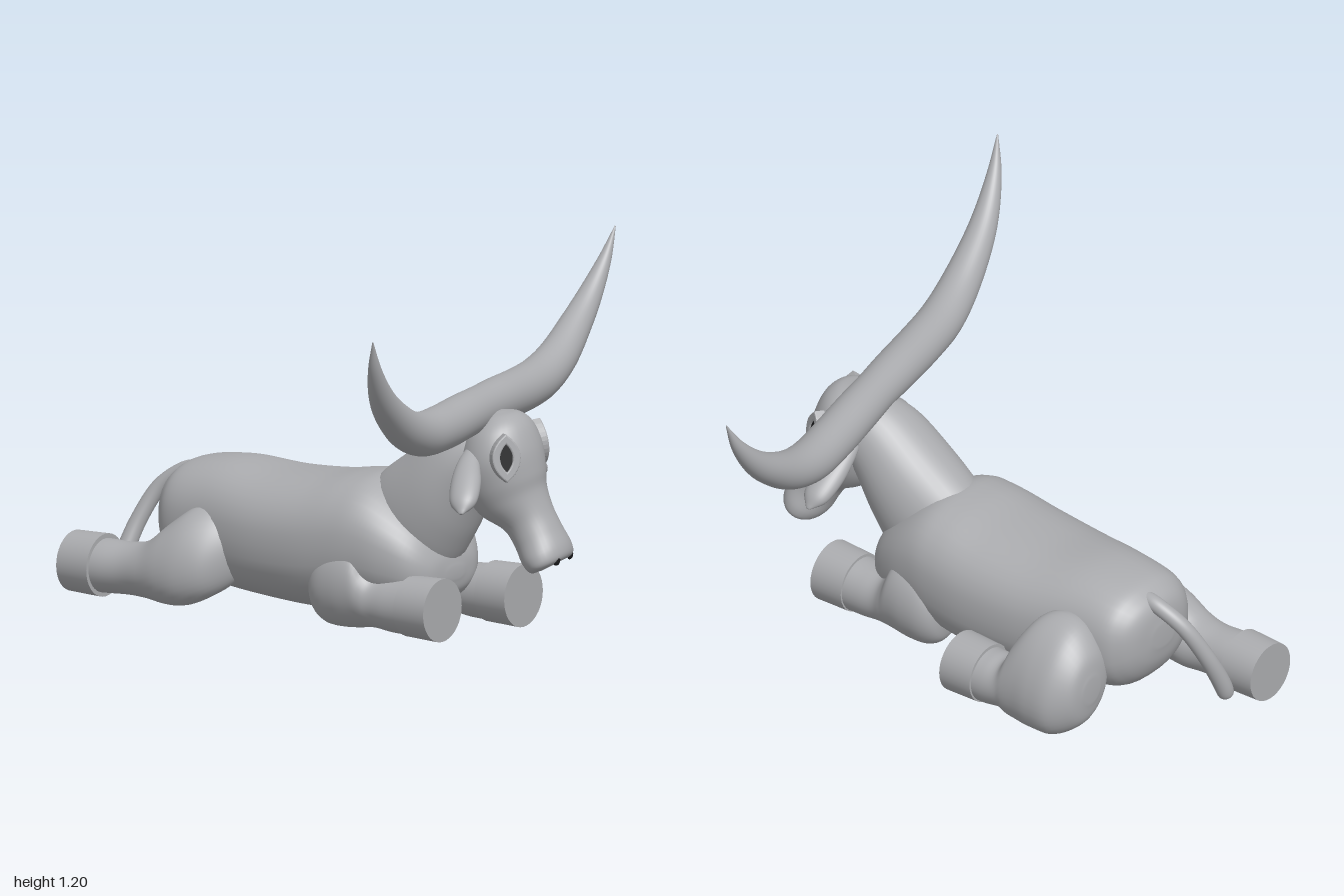
import * as THREE from 'three';

const hide = new THREE.MeshStandardMaterial({ color: 0xaaabae });
hide.name = 'greyHide';
const dark = new THREE.MeshStandardMaterial({ color: 0x1c1c1e });
dark.name = 'darkEye';

const V = (x, y, z) => new THREE.Vector3(x, y, z);
const SIDES = 36;

function addMesh(parent, name, geometry, material = hide) {
  const mesh = new THREE.Mesh(geometry, material);
  mesh.name = name;
  parent.add(mesh);
  return mesh;
}

// Closed smooth skin over rings of { c, u, v }; power below 1 makes rings boxier
function skin(rings, steps = 6, power = 1) {
  const [cc, cu, cv] = ['c', 'u', 'v'].map(k => new THREE.CatmullRomCurve3(rings.map(r => r[k]), false, 'catmullrom', 0.5));
  const n = (rings.length - 1) * steps;
  const pos = [], idx = [];
  const bend = s => Math.sign(s) * Math.pow(Math.abs(s), power);
  for (let i = 0; i <= n; i++) {
    const c = cc.getPoint(i / n), u = cu.getPoint(i / n), v = cv.getPoint(i / n);
    for (let j = 0; j < SIDES; j++) {
      const a = (j / SIDES) * Math.PI * 2;
      const p = c.clone().addScaledVector(u, bend(Math.cos(a))).addScaledVector(v, bend(Math.sin(a)));
      pos.push(p.x, p.y, p.z);
    }
  }
  const first = pos.length / 3, last = first + 1;
  pos.push(...rings[0].c.toArray(), ...rings[rings.length - 1].c.toArray());
  for (let j = 0; j < SIDES; j++) {
    const k = (j + 1) % SIDES;
    for (let i = 0; i < n; i++) {
      const a = i * SIDES + j, b = i * SIDES + k;
      idx.push(a, b, a + SIDES, b, b + SIDES, a + SIDES);
    }
    idx.push(first, k, j, last, n * SIDES + j, n * SIDES + k);
  }
  const g = new THREE.BufferGeometry();
  g.setAttribute('position', new THREE.Float32BufferAttribute(pos, 3));
  g.setIndex(idx);
  g.computeVertexNormals();
  return g;
}

// Rings given by their upper and lower points: [z1, y1, z2, y2, halfWidth, x, lean]
const slices = rows => rows.map(([z1, y1, z2, y2, w, x = 0, lean = 0]) => ({
  c: V(x, (y1 + y2) / 2, (z1 + z2) / 2),
  u: V(w, 0, 0),
  v: V(lean, (y1 - y2) / 2, (z1 - z2) / 2),
}));
// Upright rings: [z, top, bottom, halfWidth, x, lean]
const upright = rows => slices(rows.map(([z, t, b, w, x, lean]) => [z, t, z, b, w, x, lean]));

// Rings following a path: [x, y, z, ru, rv]
function along(rows, ref) {
  const curve = new THREE.CatmullRomCurve3(rows.map(r => V(r[0], r[1], r[2])), false, 'catmullrom', 0.5);
  return rows.map(([x, y, z, ru, rv = ru], i) => {
    const t = curve.getTangent(i / (rows.length - 1));
    const u = ref.clone().cross(t).normalize();
    const v = t.clone().cross(u);
    return { c: V(x, y, z), u: u.multiplyScalar(ru), v: v.multiplyScalar(rv) };
  });
}

function hoof(parent, x, z, length) {
  const g = new THREE.CylinderGeometry(0.108, 0.104, length, 36).rotateX(Math.PI / 2);
  addMesh(parent, 'hoof', g).position.set(x, 0.108, z);
}

function almond(w, h, Type = THREE.Shape) {
  const s = new Type();
  s.moveTo(0, -h);
  s.bezierCurveTo(w * 1.3, -h * 0.4, w * 1.3, h * 0.4, 0, h);
  s.bezierCurveTo(-w * 1.3, h * 0.4, -w * 1.3, -h * 0.4, 0, -h);
  return s;
}

function buildHead() {
  const head = new THREE.Group();
  head.name = 'head';
  head.position.set(0, 0, 0.63);
  head.rotation.y = 0.24;

  // Skull from poll to muzzle: front point, back point, half width
  const skull = slices([
    [0.67, 0.772, 0.64, 0.77, 0.02],
    [0.72, 0.765, 0.60, 0.745, 0.08],
    [0.76, 0.73, 0.55, 0.68, 0.135],
    [0.79, 0.66, 0.53, 0.58, 0.163],
    [0.805, 0.58, 0.55, 0.48, 0.152],
    [0.81, 0.52, 0.60, 0.41, 0.127],
    [0.835, 0.45, 0.68, 0.365, 0.098],
    [0.865, 0.39, 0.72, 0.31, 0.1],
    [0.895, 0.33, 0.75, 0.255, 0.118],
    [0.897, 0.29, 0.78, 0.228, 0.108],
    [0.86, 0.265, 0.81, 0.235, 0.05],
  ].map(r => [(r[0] - 0.63) / 0.97, r[1], (r[2] - 0.63) / 0.97, r[3], r[4], -0.01]));
  addMesh(head, 'skull', skin(skull));

  // One sweeping pair of horns
  const half = [[0.15, 0.772, -0.05, 0.077], [0.33, 0.768, -0.05, 0.078], [0.5, 0.778, -0.05, 0.076],
    [0.65, 0.825, -0.045, 0.068], [0.8, 0.915, -0.04, 0.054], [0.9, 1.0, -0.03, 0.04],
    [0.98, 1.1, -0.015, 0.022], [1.03, 1.2, 0, 0.002]];
  const left = half.map(([x, ...rest]) => [-x, ...rest]).reverse();
  addMesh(head, 'horns', skin(along([...left, [0, 0.774, -0.05, 0.074], ...half], V(0, 0, 1))));

  for (const s of [-1, 1]) {
    // Drooping flat ear
    const ear = [[s * 0.1, 0.65, -0.03, 0.02, 0.025], [s * 0.17, 0.61, -0.02, 0.03, 0.04],
      [s * 0.24, 0.56, 0, 0.037, 0.052], [s * 0.31, 0.51, 0.02, 0.03, 0.045], [s * 0.35, 0.48, 0.03, 0.004, 0.008]];
    addMesh(head, 'ear', skin(along(ear, V(0, 0, 1))));

    // Almond eye with raised rim
    const eye = new THREE.Group();
    eye.name = 'eye';
    eye.position.set(s * 0.143 - 0.01, 0.64, 0.108);
    eye.rotation.set(-0.12, s * 0.85, 0, 'YXZ');
    const rim = almond(0.047, 0.076);
    rim.holes.push(almond(0.028, 0.054, THREE.Path));
    addMesh(eye, 'eyeRim', new THREE.ExtrudeGeometry(rim, {
      depth: 0.03, bevelSize: 0.005, bevelThickness: 0.005, bevelSegments: 2, curveSegments: 12,
    }).translate(0, 0, -0.02));
    addMesh(eye, 'pupil', new THREE.ShapeGeometry(almond(0.031, 0.058)), dark).position.z = 0.01;
    head.add(eye);

    // Nostril
    const nostril = addMesh(head, 'nostril', new THREE.SphereGeometry(1, 16, 12), dark);
    nostril.scale.set(0.015, 0.021, 0.012);
    nostril.position.set(s * 0.057 - 0.01, 0.287, 0.257);
    nostril.rotation.y = s * 0.4;
  }
  return head;
}

export function createModel() {
  const model = new THREE.Group();
  model.name = 'restingBull';

  // Barrel of the body from rump to chest
  addMesh(model, 'body', skin(upright([
    [-0.66, 0.33, 0.25, 0.05], [-0.645, 0.4, 0.18, 0.13], [-0.61, 0.44, 0.12, 0.185],
    [-0.55, 0.47, 0.08, 0.22], [-0.4, 0.488, 0.05, 0.24], [-0.2, 0.478, 0.035, 0.273],
    [0, 0.49, 0.028, 0.285], [0.15, 0.513, 0.04, 0.28], [0.25, 0.512, 0.06, 0.268],
    [0.35, 0.455, 0.07, 0.245], [0.44, 0.37, 0.09, 0.2], [0.49, 0.28, 0.13, 0.13], [0.505, 0.22, 0.18, 0.04],
  ].map(r => [...r, -0.045])), 6, 0.85));

  addMesh(model, 'neck', skin(slices([
    [0.15, 0.45, 0.32, 0.12, 0.13, -0.04], [0.22, 0.525, 0.46, 0.2, 0.165, -0.04],
    [0.35, 0.62, 0.54, 0.32, 0.167, -0.035], [0.47, 0.715, 0.6, 0.45, 0.15, -0.02],
    [0.56, 0.76, 0.65, 0.52, 0.125, 0], [0.62, 0.755, 0.68, 0.56, 0.09, 0.01],
  ])));

  // Folded front legs
  for (const [x, dz] of [[0.138, 0], [-0.222, -0.07]]) {
    const leg = new THREE.Group();
    leg.name = 'frontLeg';
    leg.position.set(x, 0, dz);
    addMesh(leg, 'foreleg', skin(upright([
      [0.128, 0.17, 0.1, 0.03], [0.145, 0.24, 0.04, 0.08], [0.19, 0.295, 0.008, 0.108],
      [0.26, 0.314, 0.004, 0.116], [0.325, 0.305, 0.01, 0.11], [0.362, 0.235, 0.016, 0.1],
      [0.4, 0.2, 0.016, 0.092], [0.46, 0.197, 0.01, 0.095], [0.54, 0.203, 0.008, 0.098],
    ])));
    hoof(leg, 0, 0.585, 0.13);
    model.add(leg);
  }

  // Hind leg tucked forward
  const tucked = new THREE.Group();
  tucked.name = 'tuckedHindLeg';
  addMesh(tucked, 'thigh', skin(upright([
    [-0.585, 0.22, 0.13, 0.04, 0.24, 0], [-0.565, 0.3, 0.05, 0.1, 0.24, -0.02],
    [-0.5, 0.37, 0.006, 0.135, 0.25, -0.05], [-0.42, 0.39, 0.002, 0.14, 0.25, -0.06],
    [-0.35, 0.37, 0.004, 0.125, 0.26, -0.05], [-0.3, 0.3, 0.01, 0.105, 0.28, -0.03],
    [-0.265, 0.205, 0.016, 0.092, 0.295], [-0.21, 0.2, 0.01, 0.095, 0.297], [-0.15, 0.203, 0.01, 0.097, 0.297],
  ])));
  hoof(tucked, 0.297, -0.115, 0.13);
  model.add(tucked);

  // Hind leg stretched backward
  const stretched = new THREE.Group();
  stretched.name = 'stretchedHindLeg';
  addMesh(stretched, 'thigh', skin(upright([
    [-0.82, 0.2, 0.012, 0.098, -0.316], [-0.75, 0.2, 0.016, 0.095, -0.315], [-0.66, 0.2, 0.02, 0.09, -0.31],
    [-0.58, 0.22, 0.016, 0.1, -0.305], [-0.5, 0.29, 0.01, 0.11, -0.3, 0.02],
    [-0.42, 0.35, 0.016, 0.118, -0.28, 0.04], [-0.34, 0.36, 0.05, 0.11, -0.25, 0.05],
    [-0.28, 0.31, 0.1, 0.07, -0.23, 0.02], [-0.25, 0.24, 0.17, 0.02, -0.22],
  ])));
  hoof(stretched, -0.316, -0.835, 0.13);
  model.add(stretched);

  addMesh(model, 'tail', skin(along([
    [-0.03, 0.42, -0.57, 0.028], [-0.03, 0.405, -0.65, 0.028], [-0.06, 0.34, -0.735, 0.028],
    [-0.11, 0.23, -0.785, 0.029], [-0.16, 0.12, -0.808, 0.031], [-0.185, 0.055, -0.815, 0.028],
    [-0.19, 0.038, -0.817, 0.008],
  ], V(1, 0, 0))));

  model.add(buildHead());
  return model;
}
